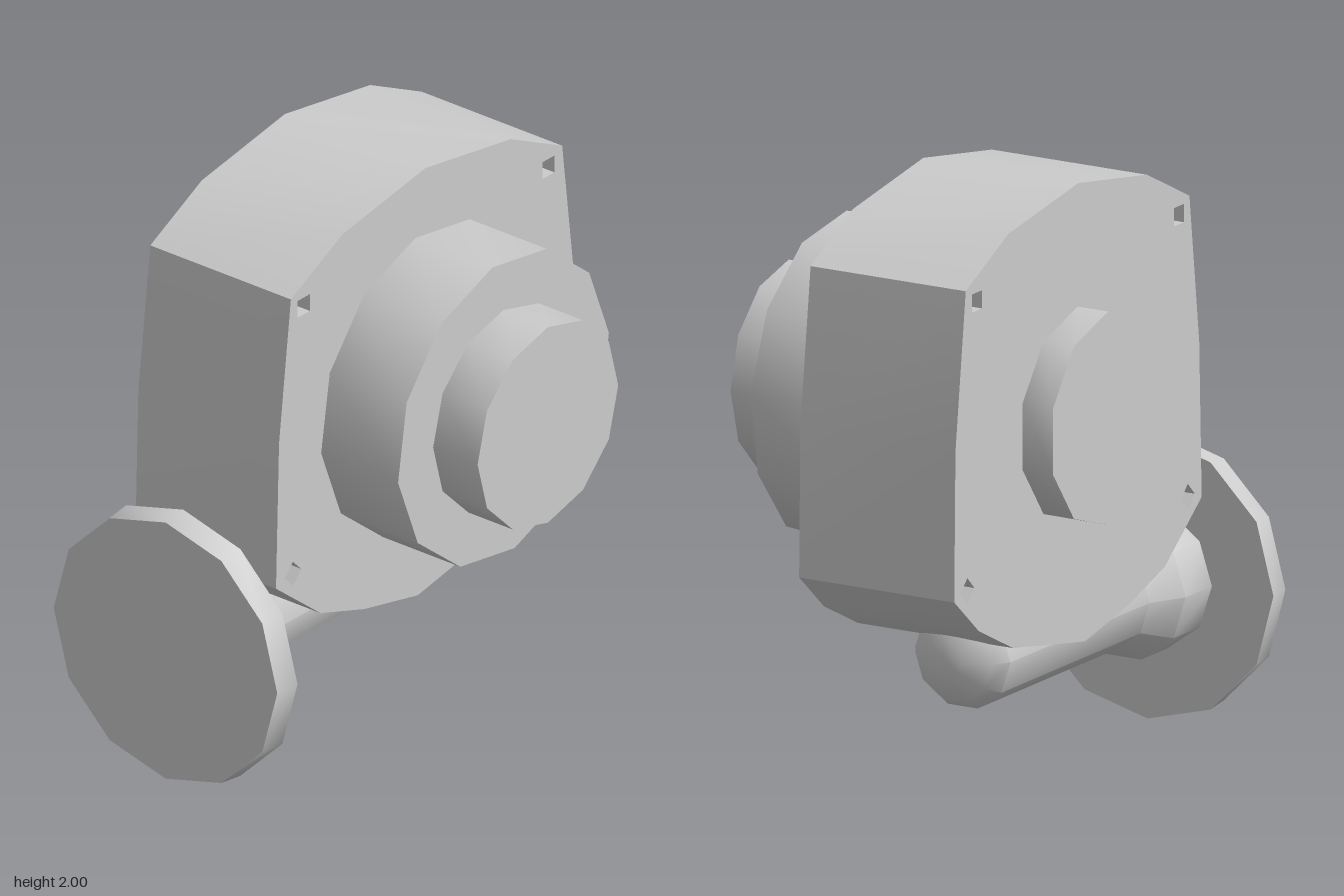
import * as THREE from 'three';
import { toCreasedNormals } from 'three/addons/utils/BufferGeometryUtils.js';

const CX = 0.055, CY = 1.235;          // main rotor axis
const PIPE_Y = 0.48, PIPE_Z = -0.2;    // side pipe axis

export function createModel() {
  const group = new THREE.Group();
  const material = new THREE.MeshStandardMaterial({ color: 0xcccccc });

  const add = (name, geometry) => {
    const mesh = new THREE.Mesh(toCreasedNormals(geometry, 0.7), material);
    mesh.name = name;
    group.add(mesh);
    return mesh;
  };

  // Faceted drum along z, between z0 and z1, on the rotor axis
  const drum = (name, radius, z0, z1, sides, phase = 0) => {
    const geo = new THREE.CylinderGeometry(radius, radius, z1 - z0, sides, 1, false, phase);
    geo.rotateX(Math.PI / 2);
    geo.translate(CX, CY, (z0 + z1) / 2);
    return add(name, geo);
  };

  // Solid of revolution along x, profile given as [radius, x]
  const turned = (name, profile, sides) => {
    const geo = new THREE.LatheGeometry(profile.map(([r, x]) => new THREE.Vector2(r, x)), sides);
    geo.rotateZ(-Math.PI / 2);
    geo.translate(0, PIPE_Y, PIPE_Z);
    return add(name, geo);
  };

  // Housing plate with a bowed outline and four through holes
  const outline = [
    [0.05, 2.0], [-0.37, 1.93], [-0.63, 1.8], [-0.69, 1.3], [-0.705, 0.78],
    [-0.48, 0.6], [-0.26, 0.525], [0.01, 0.465], [0.45, 0.545], [0.66, 0.65],
    [0.81, 0.78], [0.803, 1.28], [0.74, 1.8], [0.48, 1.93],
  ];
  const shape = new THREE.Shape(outline.map(([x, y]) => new THREE.Vector2(x, y)));
  const holes = [
    [-0.565, 1.75, Math.PI / 4], [0.67, 1.75, Math.PI / 4],
    [-0.62, 0.8, 0], [0.73, 0.8, 0],
  ];
  for (const [x, y, turn] of holes) {
    const corners = [];
    for (let i = 0; i < 4; i++) {
      const a = turn - i * Math.PI / 2;
      corners.push(new THREE.Vector2(x + 0.043 * Math.cos(a), y + 0.043 * Math.sin(a)));
    }
    shape.holes.push(new THREE.Path(corners));
  }
  const housing = new THREE.ExtrudeGeometry(shape, { depth: 0.585, bevelEnabled: false });
  housing.translate(0, 0, -0.42);
  add('housing', housing);

  // Stepped drums on the front, hub on the back
  drum('frontDrum', 0.535, 0.165, 0.485, 12, Math.PI / 30);
  drum('frontHub', 0.355, 0.485, 0.67, 12);
  drum('backHub', 0.355, -0.535, -0.42, 10);

  // Side pipe with a flared root and rounded end
  turned('pipe', [
    [0, -0.74], [0.243, -0.74], [0.243, -0.57], [0.18, -0.45],
    [0.18, 0.4], [0.145, 0.455], [0.06, 0.5], [0, 0.5],
  ], 10);

  // Round end flange
  turned('flange', [[0, -0.82], [0.465, -0.82], [0.475, -0.73], [0, -0.73]], 12);

  return group;
}
